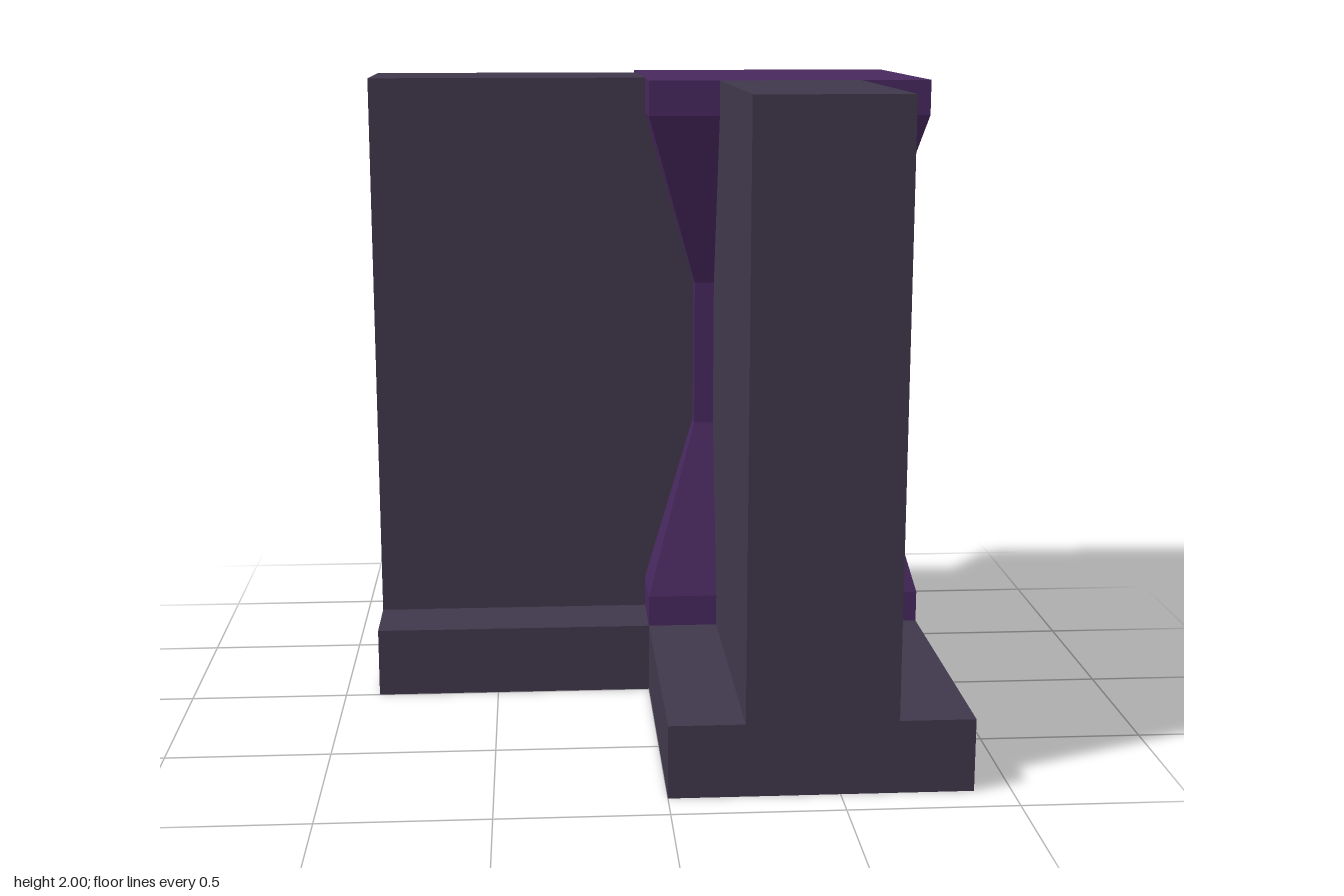
import * as THREE from 'three';

const H = 0.89;            // half of the footprint
const C = H / 2;           // pillar centre offset and half width
const BASE = 0.22;         // base height
const WALL = 0.445;        // wall thickness
// Pillar outline: [half width, height], from bottom to top
const PROFILE = [[C, BASE], [C, 0.32], [0.285, 0.87], [0.285, 1.34], [C, 1.89], [C, 2]];

const stone = new THREE.MeshStandardMaterial({ color: 0x40384c });
const purple = new THREE.MeshStandardMaterial({ color: 0x48285f });

function polygon(points) {
  return new THREE.Shape(points.map(([x, y]) => new THREE.Vector2(x, y)));
}

function addMesh(parent, name, geometry, material) {
  const mesh = new THREE.Mesh(geometry, material);
  mesh.name = name;
  parent.add(mesh);
  return mesh;
}

export function createModel() {
  const model = new THREE.Group();
  model.name = 'cornerWall';

  // L-shaped base slab, drawn in plan (shape y becomes -z)
  const plan = polygon([[-H, 0], [0, 0], [0, -H], [H, -H], [H, H], [-H, H]]);
  const slab = new THREE.ExtrudeGeometry(plan, { depth: BASE, bevelEnabled: false });
  slab.rotateX(-Math.PI / 2);
  addMesh(model, 'base', slab, stone);

  // Everything above the base is arranged around the pillar axis
  const corner = new THREE.Group();
  corner.name = 'corner';
  corner.position.set(C, 0, -C);
  model.add(corner);

  // Square waisted pillar with closed ends
  const outline = [[0, BASE], ...PROFILE, [0, 2]]
    .map(([r, y]) => new THREE.Vector2(r * Math.SQRT2, y));
  const pillar = new THREE.LatheGeometry(outline, 4, Math.PI / 4).toNonIndexed();
  pillar.computeVertexNormals();
  addMesh(corner, 'pillar', pillar, purple);

  // Two walls whose inner ends follow the pillar outline
  const side = polygon([[-H - C, 2], [-H - C, BASE], ...PROFILE.map(([r, y]) => [-r, y])]);
  const wall = new THREE.ExtrudeGeometry(side, { depth: WALL, bevelEnabled: false });
  wall.translate(0, 0, -WALL / 2);
  addMesh(corner, 'rightWall', wall, stone);
  addMesh(corner, 'frontWall', wall, stone).rotation.y = Math.PI / 2;

  return model;
}
